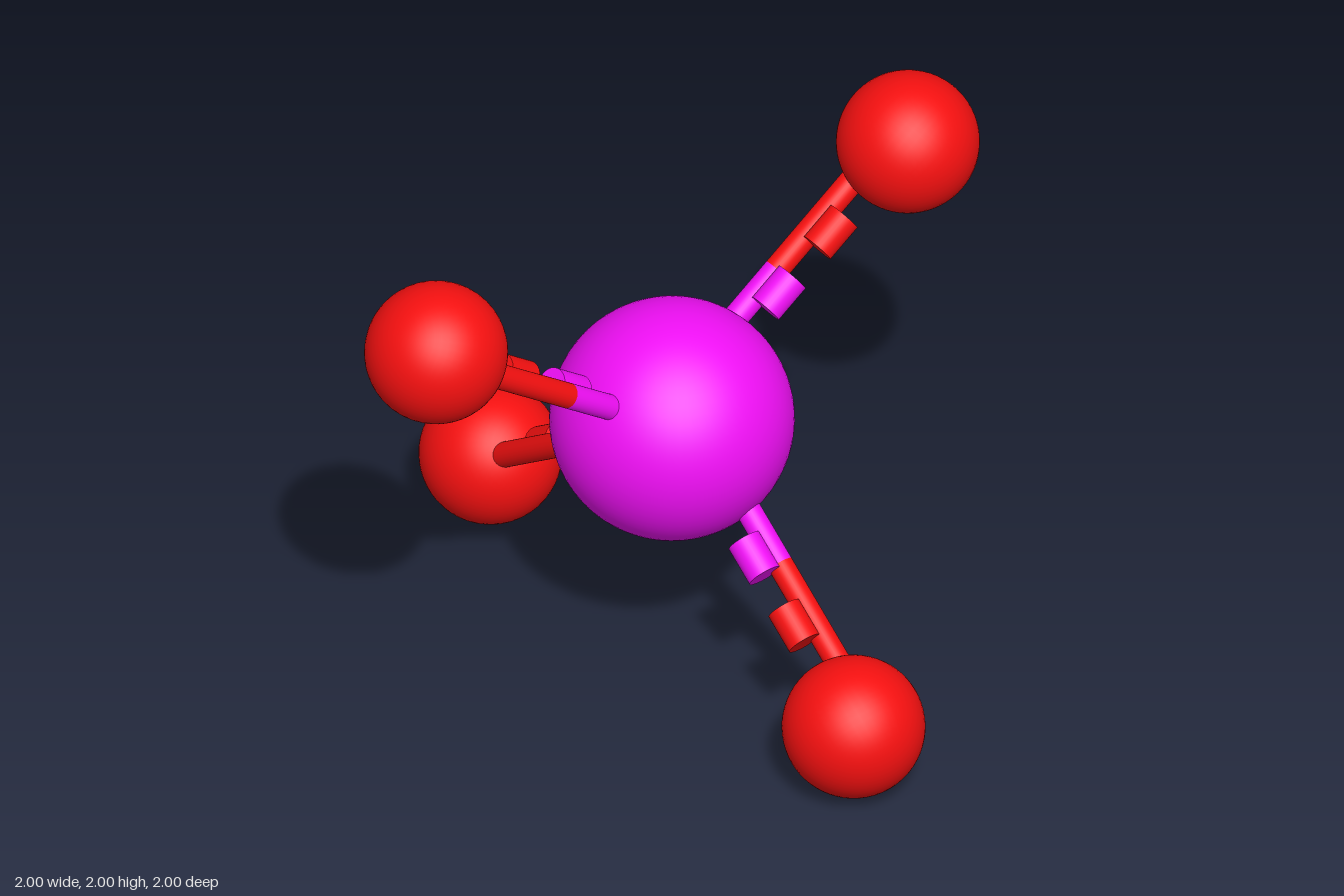
import * as THREE from 'three';

const ATOM = 0.745;               // outer atom distance along each axis
const BOND = ATOM * Math.sqrt(3); // centre to centre length
const OFFSET = 0.079;             // solid rod beside the bond axis

export function createModel() {
  const model = new THREE.Group();
  model.name = 'molecule';
  const magenta = new THREE.MeshStandardMaterial({ color: 0xf00ff5 });
  const red = new THREE.MeshStandardMaterial({ color: 0xf51010 });

  const add = (parent, name, geometry, material, x = 0, y = 0, z = 0) => {
    const mesh = new THREE.Mesh(geometry, material);
    mesh.name = name;
    mesh.position.set(x, y, z);
    parent.add(mesh);
  };

  // Central atom
  add(model, 'centralAtom', new THREE.SphereGeometry(0.435, 64, 40), magenta, 0, 1, 0);

  const outerSphere = new THREE.SphereGeometry(0.255, 48, 32);
  const halfRod = new THREE.CylinderGeometry(0.046, 0.046, BOND / 2, 32);
  const dash = new THREE.CylinderGeometry(0.062, 0.062, 0.147, 32);
  const up = new THREE.Vector3(0, 1, 0);

  // Four tetrahedral arms; local y runs outward, local x sideways (level)
  const corners = [[-1, 1, 1], [-1, -1, -1], [1, 1, -1], [1, -1, 1]];
  for (const corner of corners) {
    const out = new THREE.Vector3(...corner).normalize();
    const side = up.clone().cross(out).normalize();
    const depth = side.clone().cross(out);
    const arm = new THREE.Group();
    arm.name = 'arm';
    arm.quaternion.setFromRotationMatrix(new THREE.Matrix4().makeBasis(side, out, depth));
    arm.position.y = 1;

    add(arm, 'outerAtom', outerSphere, red, 0, BOND, 0);
    // Solid rod, changing colour halfway
    add(arm, 'innerRod', halfRod, magenta, OFFSET, BOND * 0.25, 0);
    add(arm, 'outerRod', halfRod, red, OFFSET, BOND * 0.75, 0);
    // Broken rod along the axis
    add(arm, 'innerDash', dash, magenta, 0, 0.585, 0);
    add(arm, 'outerDash', dash, red, 0, 0.868, 0);
    model.add(arm);
  }
  return model;
}
